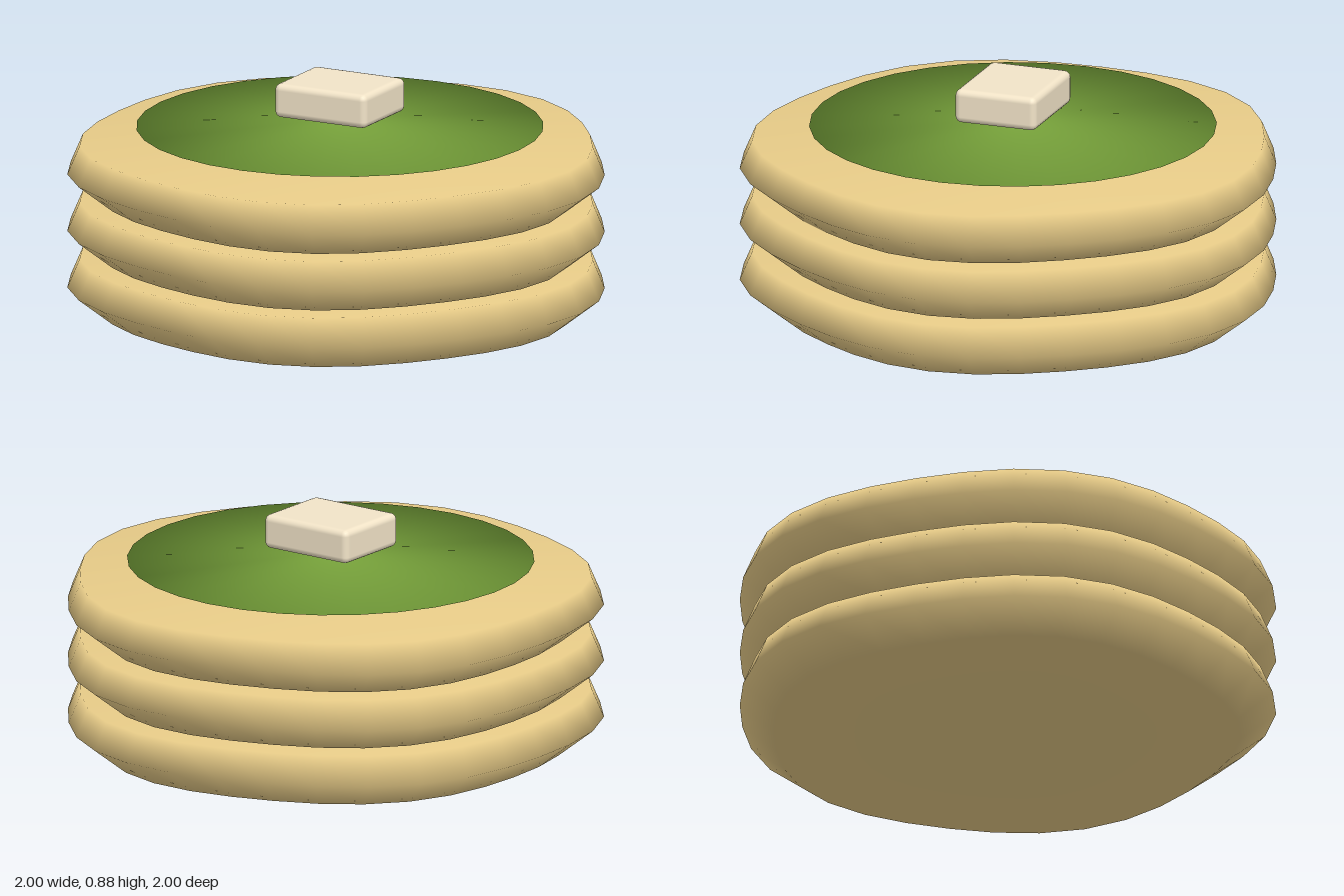
import * as THREE from 'three';
import { RoundedBoxGeometry } from 'three/addons/geometries/RoundedBoxGeometry.js';

const CENTRE_X = -0.02;
const SEGMENTS = 32;

// Solid of revolution from [radius, height] pairs, bottom to top
function lathe(profile) {
  return new THREE.LatheGeometry(profile.map(([r, y]) => new THREE.Vector2(r, y)), SEGMENTS);
}

// Five gentle bulges around the rim
function wobble(geometry, amount) {
  const p = geometry.attributes.position;
  for (let i = 0; i < p.count; i++) {
    const x = p.getX(i), z = p.getZ(i);
    const k = 1 + amount * Math.cos(5 * Math.atan2(z, x));
    p.setXYZ(i, x * k, p.getY(i), z * k);
  }
  return geometry;
}

export function createModel() {
  const group = new THREE.Group();
  const add = (name, geometry, color, y) => {
    const mesh = new THREE.Mesh(geometry, new THREE.MeshStandardMaterial({ color }));
    mesh.name = name;
    mesh.position.set(CENTRE_X, y, 0);
    group.add(mesh);
  };

  // Stack of three pancakes with slightly domed tops
  const pancake = wobble(lathe([[0, 0], [0.87, 0], [1, 0.103], [0.955, 0.21], [0, 0.24]]), 0.02);
  for (let i = 0; i < 3; i++) add(`pancake${i + 1}`, pancake, 0xe8cc88, i * 0.2175);

  // Thin lens of green sauce
  add('sauce', lathe([[0, 0.68], [0.76, 0.7], [0, 0.73]]), 0x7aa63c, 0);

  // Pat of butter
  add('butter', new RoundedBoxGeometry(0.39, 0.13, 0.325, 2, 0.025), 0xf2e4c8, 0.81);

  return group;
}
